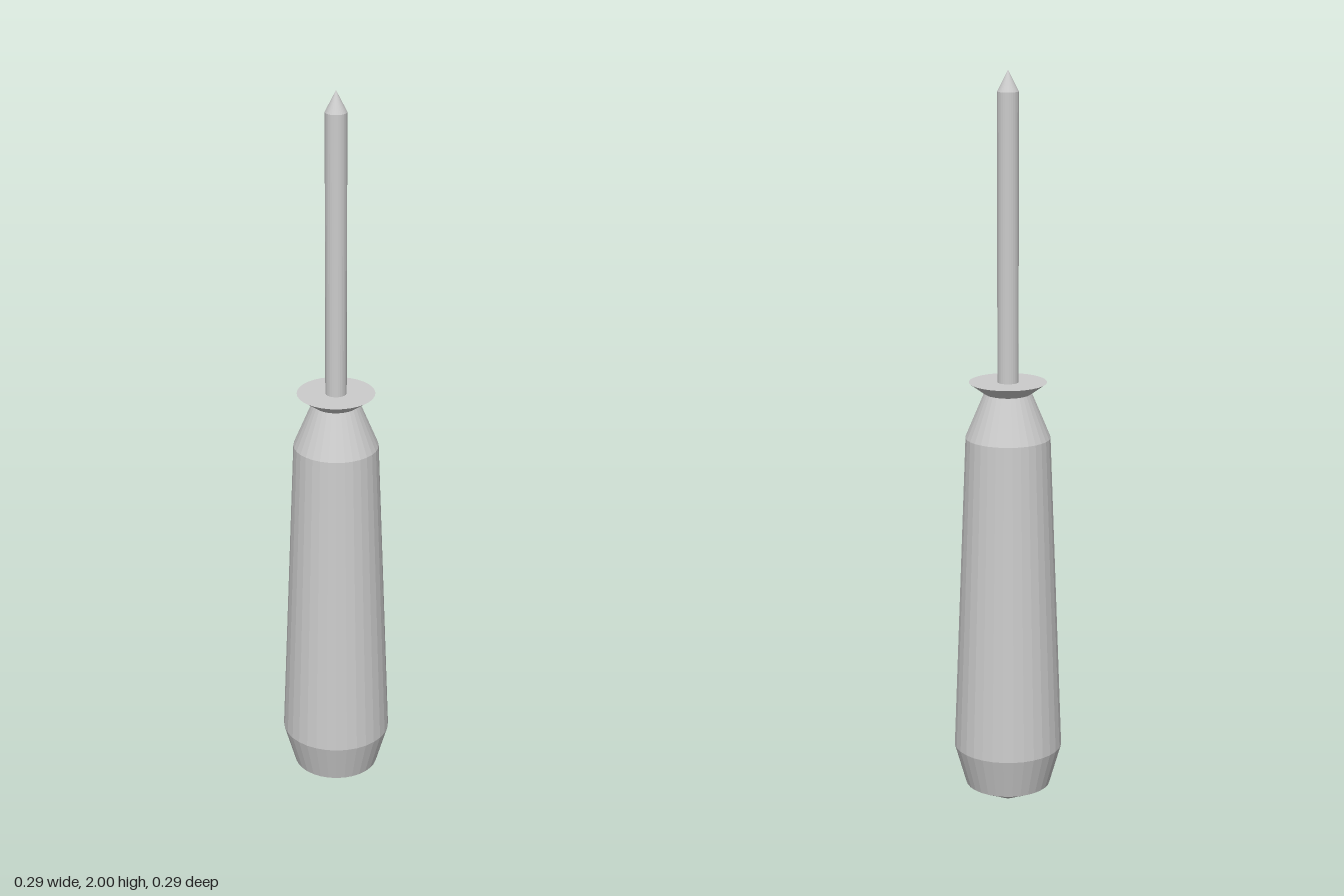
import * as THREE from 'three';

const SIDES = 32;

// Faceted turned part from [radius, height] pairs, listed bottom to top
function turned(name, profile) {
  const points = profile.map(([r, y]) => new THREE.Vector2(r, y));
  const material = new THREE.MeshStandardMaterial({ color: 0xcccccc, flatShading: true });
  const mesh = new THREE.Mesh(new THREE.LatheGeometry(points, SIDES), material);
  mesh.name = name;
  return mesh;
}

export function createModel() {
  const group = new THREE.Group();
  group.name = 'screwdriver';

  // Tapered handle with pointed butt, slightly flattened front to back
  const handle = turned('handle', [
    [0, 0], [0.115, 0.057], [0.147, 0.17], [0.113, 1.04], [0.063, 1.16], [0, 1.16],
  ]);
  handle.scale.z = 0.972;

  // Flared collar with a flat top
  const collar = turned('collar', [[0, 1.155], [0.055, 1.155], [0.103, 1.19], [0, 1.19]]);

  // Shaft with conical tip
  const shaft = turned('shaft', [[0, 1.17], [0.028, 1.17], [0.028, 1.945], [0, 2]]);

  group.add(handle, collar, shaft);
  return group;
}
